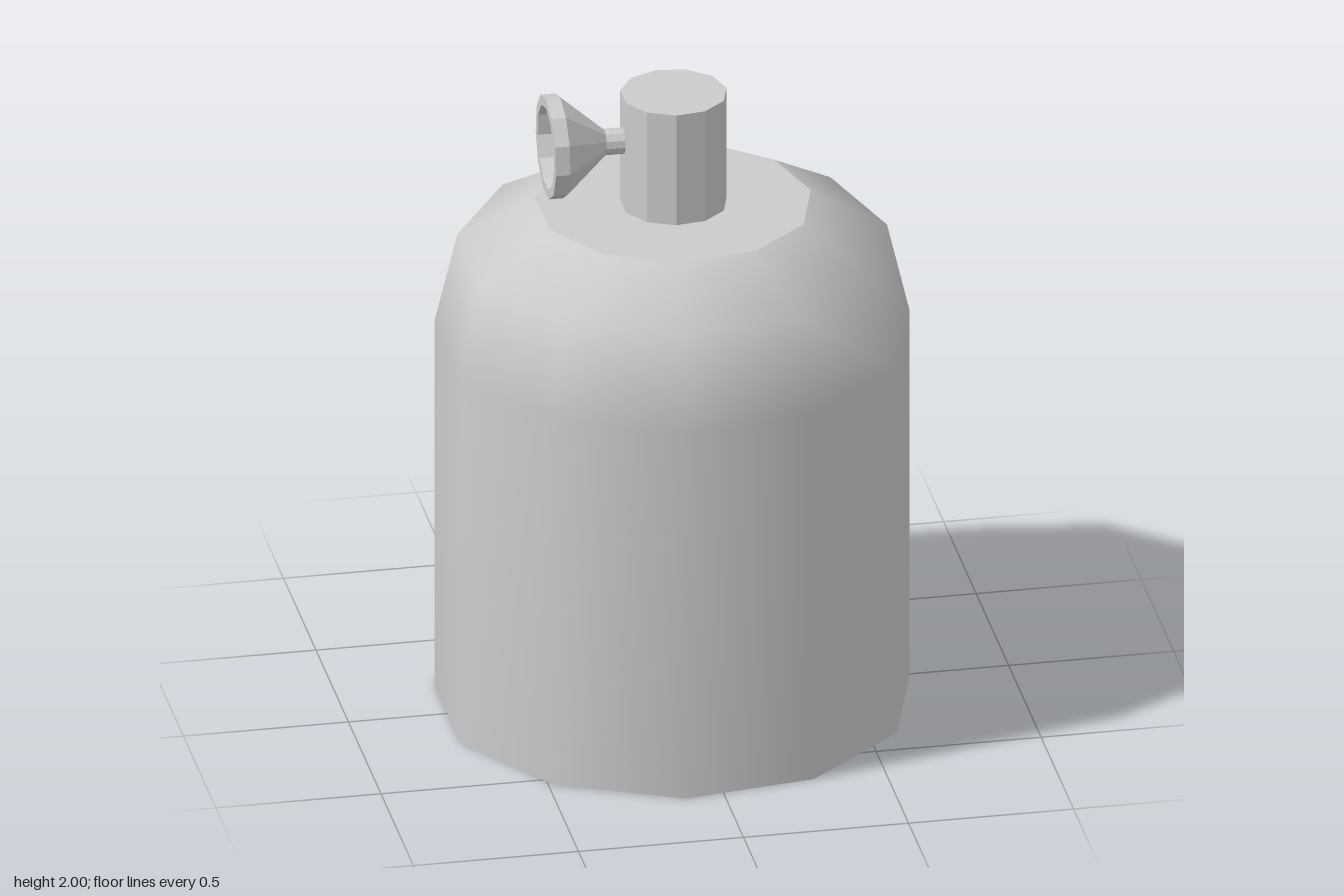
import * as THREE from 'three';

const SIDES = 11;
const CX = -0.0145; // centre of the round parts, so the eleven-sided outline spans evenly

const smooth = new THREE.MeshStandardMaterial({ color: 0xcccccc });
const faceted = new THREE.MeshStandardMaterial({ color: 0xcccccc, flatShading: true });

// Lathe from [radius, height] pairs, with one corner facing +x
function lathe(profile) {
  const points = profile.map(([r, y]) => new THREE.Vector2(r, y));
  return new THREE.LatheGeometry(points, SIDES, Math.PI / 2);
}

function addPart(parent, name, geometry, material) {
  const mesh = new THREE.Mesh(geometry, material);
  mesh.name = name;
  parent.add(mesh);
  return mesh;
}

export function createModel() {
  const model = new THREE.Group();
  model.name = 'bottle';

  // Tank: smooth wall and shoulder, with separate flat ends
  const tank = new THREE.Group();
  tank.name = 'tank';
  tank.position.x = CX;
  model.add(tank);
  addPart(tank, 'tankWall', lathe([[0.7145, 0], [0.7145, 1.2], [0.646, 1.49], [0.415, 1.625]]), smooth);
  addPart(tank, 'tankTop', new THREE.CircleGeometry(0.415, SIDES).rotateX(-Math.PI / 2), smooth)
    .position.y = 1.625;
  addPart(tank, 'tankBase', new THREE.CircleGeometry(0.7145, SIDES).rotateX(Math.PI / 2), smooth);

  // Neck
  const neck = addPart(model, 'neck', lathe([[0.16, 1.625], [0.16, 1.987], [0, 1.987]]), faceted);
  neck.position.x = CX;

  // Hollow horn on a short stem, opening toward -x
  const horn = addPart(model, 'horn', lathe([
    [0.04, 0.16], [0.04, 0.225], [0.158, 0.358], [0.158, 0.402], // outside
    [0.128, 0.402], [0.12, 0.36], [0.03, 0.25], [0, 0.25],       // inside
  ]).rotateZ(Math.PI / 2), faceted);
  horn.position.y = 1.842;

  return model;
}
